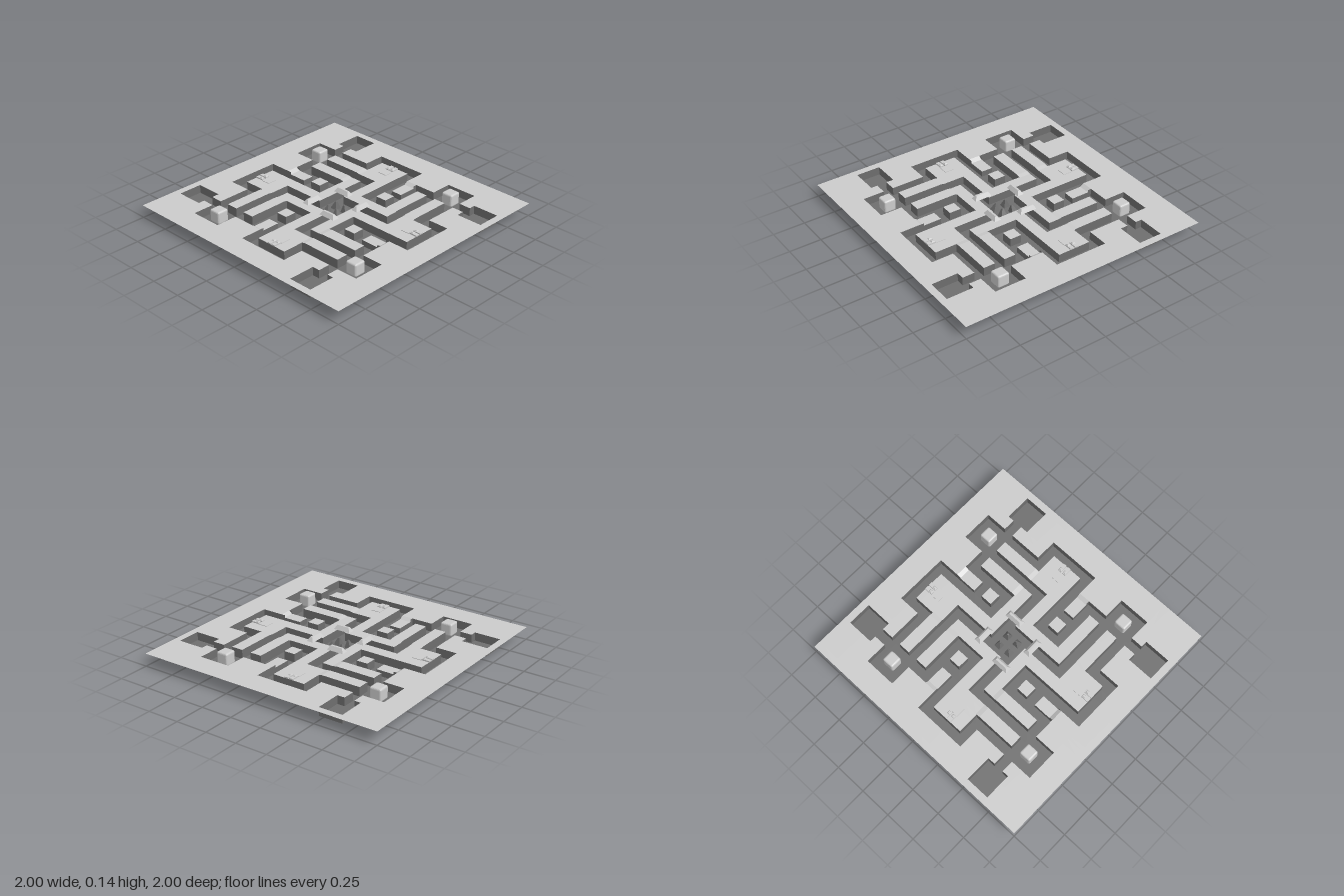
import * as THREE from 'three';
import { RoundedBoxGeometry } from 'three/addons/geometries/RoundedBoxGeometry.js';

const GROUND = 0.1, FLOOR = 0.035, PLATEAU = 0.106, RECESS = 0.08;
const U = 0.0856, W = 0.0395; // half grid pitch, half corridor width

const light = new THREE.MeshStandardMaterial({ color: 0xcccccc, side: THREE.DoubleSide, flatShading: true });
const dark = new THREE.MeshStandardMaterial({ color: 0x6e6e6e, side: THREE.DoubleSide, flatShading: true });

// Corridor centre lines of one quarter, in grid steps: x0, z0, x1, z1
const corridors = [
  [-9, -7, -3, -7], [-3, -9, -3, -7], [-3, -9, 1, -9], [1, -9, 1, -3], [1, -3, 3, -3],
  [3, -7, 3, -3], [3, -7, 9, -7], [-9, -7, -7, -5], [-9, -5, -1, -5], [-1, -5, -1, -1], [1, -5, 3, -5],
];
const rects = []; // x0, z0, x1, z1, height, sloped
const quarter = [
  [0.296, -0.56, 0.56, -0.245, PLATEAU, false],
  [0.296, -0.245, 0.56, -0.21, GROUND, true],
  [0.125, -0.61, 0.217, -0.46, RECESS, false],
  [0.125, -0.64, 0.217, -0.61, GROUND, true],
  ...corridors.map(([a, b, c, d]) => [a * U - W, b * U - W, c * U + W, d * U + W, FLOOR, false]),
  [-0.69, -0.945, -0.5, -0.735, FLOOR, false],
];
for (const q of quarter) {
  let r = q;
  for (let i = 0; i < 4; i++) {
    rects.push(r);
    r = [-r[3], r[0], -r[1], r[2], r[4], r[5]]; // quarter turn
  }
}
rects.push([-0.125, -0.125, 0.125, 0.125, FLOOR, false]);

function quadMesh(name, quads, material) {
  const pos = [];
  for (const [a, b, c, d] of quads) pos.push(...a, ...b, ...c, ...a, ...c, ...d);
  const g = new THREE.BufferGeometry();
  g.setAttribute('position', new THREE.Float32BufferAttribute(pos, 3));
  g.computeVertexNormals();
  const m = new THREE.Mesh(g, material);
  m.name = name;
  return m;
}

// Ground sheet with sunken corridors, built as a stepped height grid
function buildGround(group) {
  const lines = (i, j) => [...new Set([-1, 1, ...rects.flatMap(r => [r[i], r[j]])].map(v => Math.round(v * 1000) / 1000))]
    .sort((a, b) => a - b);
  const xs = lines(0, 2), zs = lines(1, 3);
  const cell = (i, j) => {
    const x = (xs[i] + xs[i + 1]) / 2, z = (zs[j] + zs[j + 1]) / 2;
    let h = GROUND, slope = false;
    for (const r of rects) {
      if (x > r[0] && x < r[2] && z > r[1] && z < r[3] && h !== FLOOR) { h = r[4]; slope = r[5]; }
    }
    return { h, slope };
  };
  const cells = xs.slice(1).map((_, i) => zs.slice(1).map((_, j) => cell(i, j)));
  const sheet = [], floor = [], walls = [];
  const wall = (a, b, x0, z0, x1, z1) => {
    if (!b || a.h === b.h) return;
    if ((a.slope || b.slope) && a.h !== FLOOR && b.h !== FLOOR) return;
    const lo = Math.min(a.h, b.h), hi = Math.max(a.h, b.h);
    const q = [[x0, lo, z0], [x1, lo, z1], [x1, hi, z1], [x0, hi, z0]];
    // faces look into the lower cell
    walls.push((a.h < b.h) === (z0 === z1) ? [q[1], q[0], q[3], q[2]] : q);
  };
  cells.forEach((col, i) => col.forEach((c, j) => {
    const [x0, x1, z0, z1] = [xs[i], xs[i + 1], zs[j], zs[j + 1]];
    if (!c.slope) (c.h === FLOOR ? floor : sheet).push([[x0, c.h, z0], [x0, c.h, z1], [x1, c.h, z1], [x1, c.h, z0]]);
    wall(c, cells[i + 1]?.[j], x1, z0, x1, z1);
    wall(c, col[j + 1], x0, z1, x1, z1);
  }));
  group.add(quadMesh('groundSheet', sheet, light), quadMesh('corridorFloor', floor, dark), quadMesh('corridorWalls', walls, dark));
}

function add(group, name, geometry, material, x, y, z) {
  const m = new THREE.Mesh(geometry, material);
  m.name = name;
  m.position.set(x, y, z);
  group.add(m);
  return m;
}

// Hipped block: base w x d, narrowing to a top tw x td
function hipped(w, d, tw, td, h) {
  const g = new THREE.BoxGeometry(w, h, d);
  const p = g.attributes.position;
  for (let i = 0; i < p.count; i++) {
    if (p.getY(i) > 0) p.setXYZ(i, p.getX(i) * tw / w, p.getY(i), p.getZ(i) * td / d);
  }
  g.computeVertexNormals();
  return g;
}

function buildQuarter() {
  const q = new THREE.Group();
  q.name = 'mazeQuarter';
  // short slopes leading to the recess and the plateaus
  const slope = (x0, x1, z0, z1, y0, y1) => [[x0, y0, z0], [x0, y1, z1], [x1, y1, z1], [x1, y0, z0]];
  q.add(quadMesh('slopes', [
    slope(0.125, 0.217, -0.64, -0.61, GROUND, RECESS),
    slope(0.296, 0.389, -0.245, -0.21, PLATEAU, GROUND),
    slope(0.467, 0.56, -0.245, -0.21, PLATEAU, GROUND),
  ], light));
  // pillar standing in the corridor loop
  add(q, 'pillar', new RoundedBoxGeometry(0.095, 0.1, 0.095, 2, 0.014), light, -8 * U, 0.085, -6 * U);
  // gate bridging the corridor into the centre
  add(q, 'gate', hipped(0.14, 0.055, 0.1, 0.016, 0.032), light, -0.086, GROUND + 0.016, -0.163);
  // twin blocks and their pad
  add(q, 'pad', new THREE.BoxGeometry(0.078, 0.004, 0.075), light, -0.087, GROUND + 0.002, -0.628);
  for (const s of [-1, 1]) {
    add(q, 'twinBlock', new THREE.BoxGeometry(0.03, 0.01, 0.065), light, -0.087 + s * 0.02, GROUND + 0.005, -0.7);
    add(q, 'twinBlockTop', hipped(0.024, 0.026, 0.014, 0.016, 0.008), light, -0.087 + s * 0.02, GROUND + 0.014, -0.685);
  }
  // leaning shard in the central room
  const shard = add(q, 'shard', new THREE.CylinderGeometry(0.008, 0.038, 0.06, 4), dark, -0.045, FLOOR + 0.03, -0.043);
  shard.rotation.set(0.2, Math.PI / 4, -0.2);
  return q;
}

export function createModel() {
  const model = new THREE.Group();
  model.name = 'sunkenMaze';
  buildGround(model);
  for (let i = 0; i < 4; i++) {
    const q = buildQuarter();
    q.rotation.y = -i * Math.PI / 2;
    model.add(q);
  }
  // pointed pit under the central room
  add(model, 'centrePit', new THREE.CylinderGeometry(0.085, 0.02, FLOOR, 4), dark, 0, FLOOR / 2, 0).rotation.y = Math.PI / 4;
  return model;
}
